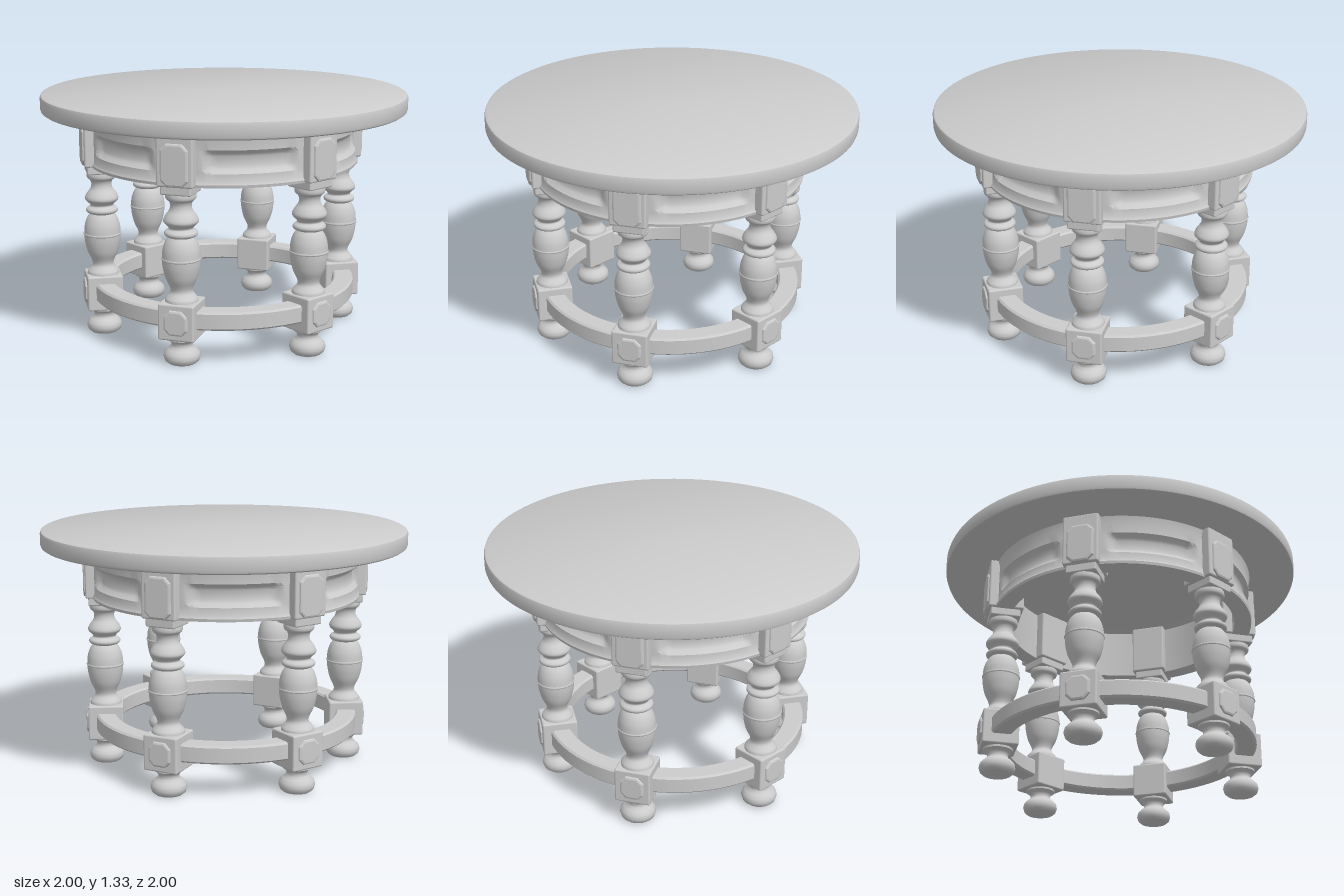
import * as THREE from 'three';
import { toCreasedNormals } from 'three/addons/utils/BufferGeometryUtils.js';
import { RoundedBoxGeometry } from 'three/addons/geometries/RoundedBoxGeometry.js';

const material = new THREE.MeshStandardMaterial({ color: 0xcccccc });
const LEGS = 6;
const LEG_RADIUS = 0.675;
const SECTOR = (Math.PI * 2) / LEGS;

function part(name, geometry, x = 0, y = 0, z = 0) {
  const mesh = new THREE.Mesh(geometry, material);
  mesh.name = name;
  mesh.position.set(x, y, z);
  return mesh;
}

// profile is a list of [radius, y], running bottom to top on the outside
function turned(profile, segments, crease = 0.6) {
  const points = profile.map(([r, y]) => new THREE.Vector2(r, y));
  return toCreasedNormals(new THREE.LatheGeometry(points, segments), crease);
}

// turned profile rounded off by a spline
function turnedSmooth(profile, divisions) {
  const curve = new THREE.SplineCurve(profile.map(([r, y]) => new THREE.Vector2(r, y)));
  return new THREE.LatheGeometry(curve.getPoints(divisions), 28);
}

// bevelled plaque with cut corners, facing +z
function plaque(width, height) {
  const w = width / 2 - 0.012, h = height / 2 - 0.012, c = 0.025;
  const shape = new THREE.Shape([
    [-w + c, -h], [w - c, -h], [w, -h + c], [w, h - c],
    [w - c, h], [-w + c, h], [-w, h - c], [-w, -h + c],
  ].map(([x, y]) => new THREE.Vector2(x, y)));
  return new THREE.ExtrudeGeometry(shape, {
    depth: 0.005, bevelThickness: 0.012, bevelSize: 0.012, bevelSegments: 2,
  });
}

// round apron with a sunken panel between each pair of legs
function apronGeometry() {
  const profile = [
    [0.64, 0.95], [0.735, 0.95], [0.738, 0.965], [0.728, 0.98],
    [0.728, 1.02], [0.728, 1.04], [0.728, 1.055], [0.728, 1.105],
    [0.728, 1.12], [0.728, 1.14], [0.728, 1.2], [0.738, 1.24],
    [0.64, 1.24], [0.64, 0.95],
  ];
  const geometry = new THREE.LatheGeometry(
    profile.map(([r, y]) => new THREE.Vector2(r, y)), 180);
  const p = geometry.attributes.position;
  const step = THREE.MathUtils.smoothstep;
  for (let i = 0; i < p.count; i++) {
    const x = p.getX(i), y = p.getY(i), z = p.getZ(i), r = Math.hypot(x, z);
    if (r < 0.7) continue;
    const angle = (Math.atan2(x, z) + Math.PI * 2) % SECTOR;
    const fromMiddle = Math.abs(angle - SECTOR / 2);
    const along = 1 - step(fromMiddle, 0.29, 0.34);
    const up = step(y, 1.02, 1.05) * (1 - step(y, 1.11, 1.14));
    const k = (r - 0.03 * along * up) / r;
    p.setXYZ(i, x * k, y, z * k);
  }
  return toCreasedNormals(geometry, 0.6);
}

const footProfile = [
  [0, 0.005], [0.075, 0.005], [0.09, 0.018], [0.097, 0.04], [0.092, 0.062],
  [0.075, 0.08], [0.058, 0.092], [0.055, 0.108], [0.062, 0.122], [0.08, 0.135], [0.08, 0.16],
];
const vaseProfile = [
  [0.088, 0.33], [0.086, 0.352], [0.074, 0.368], [0.058, 0.39], [0.062, 0.418],
  [0.083, 0.462], [0.096, 0.515], [0.1, 0.555], [0.1, 0.575], [0.096, 0.615],
  [0.082, 0.655], [0.062, 0.682],
];
const ringProfile = [
  [0.055, 0.675], [0.08, 0.686], [0.087, 0.698], [0.082, 0.71], [0.064, 0.722],
  [0.068, 0.735], [0.088, 0.755], [0.09, 0.772], [0.078, 0.795], [0.06, 0.82],
  [0.055, 0.845], [0.062, 0.866], [0.076, 0.878], [0.08, 0.895], [0.076, 0.92],
];

function makeLeg(shared) {
  const leg = new THREE.Group();
  leg.name = 'leg';
  leg.add(
    part('foot', shared.foot),
    part('lowerBlock', shared.lowerBlock, 0, 0.243, 0),
    part('lowerPlaque', shared.lowerPlaque, 0, 0.243, 0.092),
    part('vaseTurning', shared.vase),
    part('vaseBand', shared.band, 0, 0.565, 0),
    part('neckTurning', shared.neck),
    part('collar', shared.collar, 0, 0.935, 0),
    part('upperBlock', shared.upperBlock, 0, 1.096, 0),
    part('upperPlaque', shared.upperPlaque, 0, 1.065, 0.092),
  );
  leg.children[4].rotation.x = Math.PI / 2;
  return leg;
}

export function createModel() {
  const table = new THREE.Group();
  table.name = 'roundTable';

  // Thick round top with softened edges
  table.add(part('tabletop', turned([
    [0, 1.236], [0.985, 1.236], [0.996, 1.243], [1, 1.255],
    [1, 1.312], [0.996, 1.324], [0.985, 1.33], [0, 1.33],
  ], 128)));

  const base = new THREE.Group();
  base.name = 'base';
  base.position.set(-0.003, 0, 0.015);
  table.add(base);

  base.add(part('apron', apronGeometry()));

  // Ring stretcher joining the lower blocks
  base.add(part('ringStretcher', turned([
    [0.632, 0.2], [0.722, 0.2], [0.732, 0.21], [0.732, 0.288], [0.722, 0.298],
    [0.632, 0.298], [0.622, 0.288], [0.622, 0.21], [0.632, 0.2],
  ], 96)));

  // Six legs, each turned to face outward
  const shared = {
    foot: turned(footProfile, 28, 0.9),
    lowerBlock: new RoundedBoxGeometry(0.195, 0.195, 0.195, 2, 0.01),
    lowerPlaque: plaque(0.13, 0.135),
    vase: turnedSmooth(vaseProfile, 36),
    band: new THREE.TorusGeometry(0.097, 0.007, 8, 28),
    neck: turnedSmooth(ringProfile, 56),
    collar: new RoundedBoxGeometry(0.165, 0.055, 0.165, 2, 0.008),
    upperBlock: new RoundedBoxGeometry(0.195, 0.29, 0.195, 2, 0.01),
    upperPlaque: plaque(0.15, 0.22),
  };
  for (let i = 0; i < LEGS; i++) {
    const angle = i * SECTOR;
    const leg = makeLeg(shared);
    leg.position.set(Math.sin(angle) * LEG_RADIUS, 0, Math.cos(angle) * LEG_RADIUS);
    leg.rotation.y = angle;
    base.add(leg);
  }
  return table;
}
